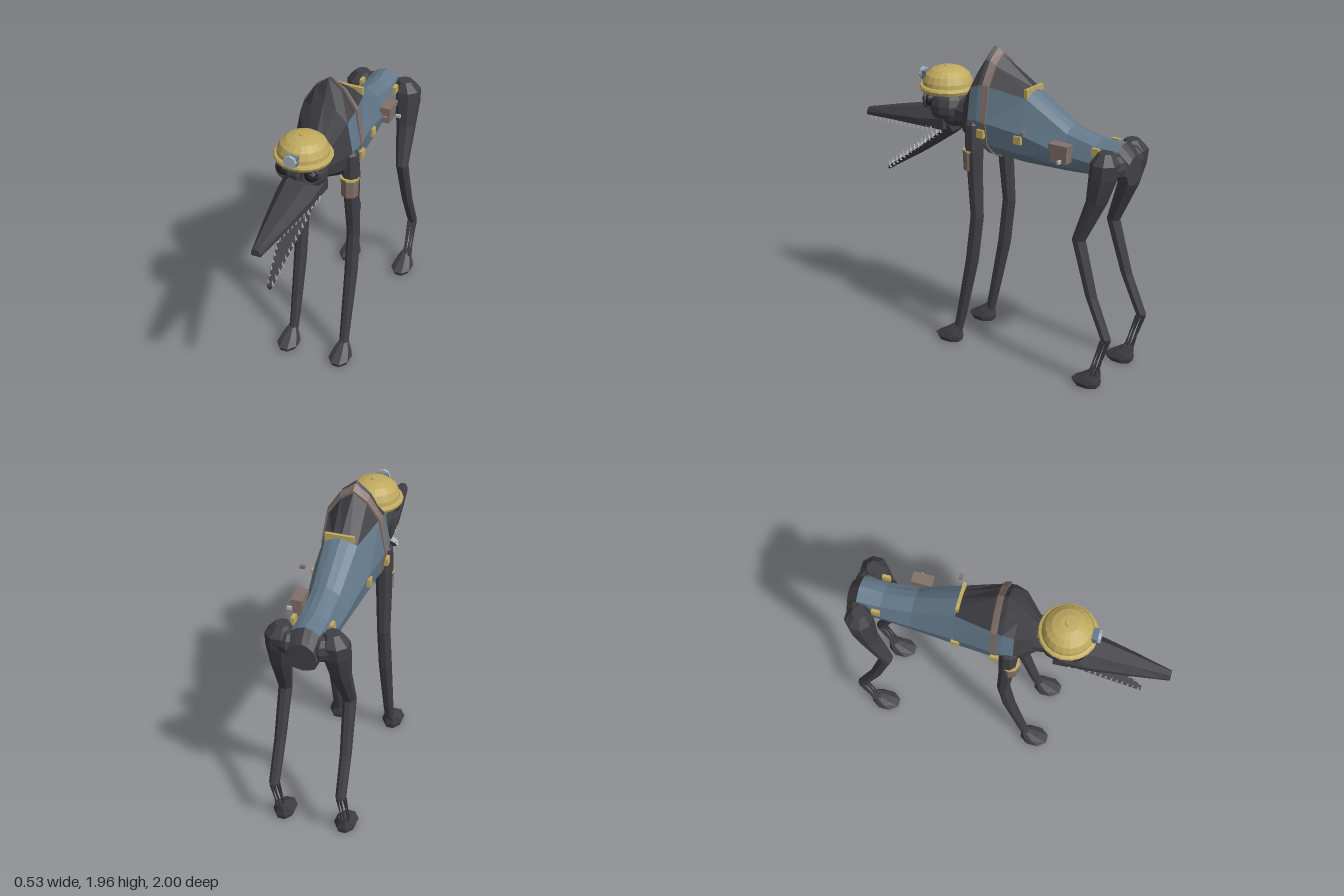
import * as THREE from 'three';

const colour = (name, hex) => {
  const m = new THREE.MeshStandardMaterial({ color: hex });
  m.name = name;
  return m;
};

export function createModel() {
  const root = new THREE.Group();
  root.name = 'longJawedCreature';
  const hide = colour('darkHide', 0x414045);
  const blue = colour('blueVest', 0x64798b);
  const brown = colour('brownLeather', 0x82716a);
  const yellow = colour('yellowMetal', 0xc0aa60);
  const bone = colour('paleTeeth', 0xb9b9b6);
  const glass = colour('lampGlass', 0xa9b4be);
  const black = colour('blackEye', 0x242328);

  // Facet a built-in geometry and add it under a name
  function add(name, geo, mat, x = 0, y = 0, z = 0, parent = root) {
    const g = geo.index ? geo.toNonIndexed() : geo;
    g.computeVertexNormals();
    const mesh = new THREE.Mesh(g, mat);
    mesh.name = name;
    mesh.position.set(x, y, z);
    parent.add(mesh);
    return mesh;
  }
  const box = (name, w, h, d, mat, x, y, z) => add(name, new THREE.BoxGeometry(w, h, d), mat, x, y, z);

  // Capped skin over rings of points; pick(section, side) chooses the material
  function loft(name, rings, mats, pick = () => 0) {
    const buckets = mats.map(() => []);
    const n = rings[0].length;
    let volume = 0;
    const tri = (b, p, q, r) => {
      volume += p.dot(q.clone().cross(r));
      buckets[b].push([p, q, r]);
    };
    for (let j = 0; j < rings.length - 1; j++) for (let i = 0; i < n; i++) {
      const k = (i + 1) % n, b = pick(j, i);
      tri(b, rings[j][i], rings[j][k], rings[j + 1][k]);
      tri(b, rings[j][i], rings[j + 1][k], rings[j + 1][i]);
    }
    for (const end of [0, rings.length - 1]) {
      const ring = rings[end];
      const mid = ring.reduce((s, p) => s.add(p), new THREE.Vector3()).divideScalar(n);
      for (let i = 0; i < n; i++) {
        const p = ring[i], q = ring[(i + 1) % n];
        if (end === 0) tri(0, mid, q, p);
        else tri(0, mid, p, q);
      }
    }
    const geo = new THREE.BufferGeometry(), points = [];
    buckets.forEach((tris, b) => {
      const start = points.length;
      for (const [p, q, r] of tris) points.push(...(volume > 0 ? [p, q, r] : [p, r, q]));
      geo.addGroup(start, points.length - start, b);
    });
    geo.setFromPoints(points);
    return add(name, geo, mats);
  }
  const V = (x, y, z) => new THREE.Vector3(x, y, z);
  const oval = (x, y, z, rx, rz, n = 8) => Array.from({ length: n }, (_, i) => {
    const a = (i + 0.5) / n * Math.PI * 2;
    return V(x + rx * Math.cos(a), y, z + rz * Math.sin(a));
  });

  // Trunk cross-section: belly, flank, shoulder line, hump
  function trunkRing([z, bottom, top, w, ys, ws]) {
    const h = ys - bottom;
    const half = [[w * 0.55, bottom + 0.01], [w * 0.88, bottom + h * 0.18], [w, bottom + h * 0.5],
      [ws, ys], [ws * 0.52, ys + (top - ys) * 0.66]];
    return [V(0, bottom, z), ...half.map(([x, y]) => V(x, y, z)), V(0, top, z),
      ...half.reverse().map(([x, y]) => V(-x, y, z))];
  }
  const trunk = [
    [0.18, 1.37, 1.65, 0.1, 1.57, 0.08], [0.07, 1.33, 1.83, 0.19, 1.72, 0.155],
    [0, 1.32, 1.96, 0.2, 1.75, 0.165], [-0.05, 1.31, 1.925, 0.2, 1.75, 0.16],
    [-0.3, 1.29, 1.74, 0.17, 1.7, 0.1], [-0.58, 1.29, 1.57, 0.13, 1.53, 0.085],
    [-0.78, 1.3, 1.52, 0.115, 1.49, 0.085], [-0.93, 1.3, 1.53, 0.11, 1.49, 0.085],
    [-1, 1.28, 1.46, 0.09, 1.42, 0.07]];
  loft('trunkWithVest', trunk.map(trunkRing), [hide, blue], (j, i) =>
    (j === 0 || j === trunk.length - 2 || (j < 4 && i >= 4 && i <= 7) ? 0 : 1));
  loft('chestStrap', [[-0.03, 1.305, 1.955, 0.206, 1.76, 0.172],
    [-0.07, 1.3, 1.925, 0.205, 1.755, 0.166]].map(trunkRing), [brown]);
  box('backClasp', 0.18, 0.06, 0.02, yellow, 0.01, 1.725, -0.295);

  // Neck and skull
  add('neck', new THREE.CylinderGeometry(0.1, 0.12, 0.16, 10).rotateX(Math.PI / 2), hide, 0, 1.5, 0.18);
  add('skull', new THREE.SphereGeometry(0.14, 12, 9).scale(1.03, 0.95, 1), hide, 0, 1.52, 0.325);

  // Jaws: sections of z, bottom, top, half width
  const jawRing = ([z, b, t, w]) => [V(-w, b, z), V(w, b, z), V(w, b + (t - b) * 0.4, z),
    V(w * 0.5, t, z), V(-w * 0.5, t, z), V(-w, b + (t - b) * 0.4, z)];
  const lowerRing = ([z, b, t, w]) => [V(-w * 0.6, b, z), V(w * 0.6, b, z), V(w, t, z), V(-w, t, z)];
  loft('upperJaw', [[0.3, 1.395, 1.57, 0.13], [0.5, 1.385, 1.5, 0.115], [0.75, 1.365, 1.445, 0.075],
    [1, 1.34, 1.385, 0.03]].map(jawRing), [hide]);
  loft('lowerJaw', [[0.28, 1.37, 1.43, 0.1], [0.34, 1.32, 1.375, 0.1], [0.56, 1.165, 1.205, 0.065],
    [0.845, 0.985, 1.01, 0.015]].map(lowerRing), [hide]);

  // Teeth along both jaws
  for (const s of [1, -1]) for (let i = 0; i < 15; i++) {
    const t = i / 14;
    const upper = new THREE.ConeGeometry(0.011, 0.05, 4).rotateX(Math.PI);
    add('upperTooth', upper, bone, s * (0.12 - 0.092 * t), 1.375 - 0.047 * t, 0.4 + 0.56 * t);
    const lower = new THREE.ConeGeometry(0.01, 0.05, 4).rotateX(0.25);
    add('lowerTooth', lower, bone, s * (0.092 - 0.078 * t), 1.385 - 0.355 * t, 0.35 + 0.48 * t);
  }

  // Helmet with brim, button and headlamp
  const shell = [[0, -0.012], [0.172, -0.012], [0.18, 0.008], [0.174, 0.02], [0.158, 0.025], [0.155, 0.05],
    [0.137, 0.09], [0.1, 0.12], [0.055, 0.135], [0, 0.14]].map(p => new THREE.Vector2(...p));
  add('helmet', new THREE.LatheGeometry(shell, 20), yellow, 0, 1.635, 0.355);
  add('helmetButton', new THREE.CylinderGeometry(0.02, 0.025, 0.01, 10), yellow, 0, 1.775, 0.355);
  box('lampBracket', 0.075, 0.055, 0.035, blue, 0, 1.69, 0.515);
  add('headlamp', new THREE.CylinderGeometry(0.042, 0.042, 0.018, 8).rotateX(Math.PI / 2), glass, 0, 1.695, 0.543);

  for (const s of [1, -1]) {
    // Sunken eyes with rims
    add('eye', new THREE.IcosahedronGeometry(0.045, 1), black, s * 0.088, 1.565, 0.435);
    add('eyeRim', new THREE.TorusGeometry(0.05, 0.01, 5, 12).rotateY(s * 0.35), hide, s * 0.09, 1.565, 0.455);

    // Legs: points of x, y, z, radius
    const limb = (name, pts) => loft(name, pts.map(([x, y, z, r]) => oval(s * x, y, z, r, r)), [hide]);
    limb('frontLeg', [[0.15, 1.54, 0.04, 0.03], [0.16, 1.5, 0.04, 0.055], [0.165, 1.35, 0.035, 0.058],
      [0.168, 1.2, 0.028, 0.05], [0.175, 0.9, 0.008, 0.042], [0.178, 0.6, 0.045, 0.042],
      [0.178, 0.2, 0.13, 0.033], [0.18, 0.08, 0.16, 0.03]]);
    limb('hindLeg', [[0.15, 1.5, -0.89, 0.045], [0.165, 1.44, -0.895, 0.088], [0.17, 1.35, -0.885, 0.085],
      [0.18, 1.2, -0.855, 0.065], [0.2, 0.94, -0.75, 0.042], [0.208, 0.6, -0.85, 0.036],
      [0.212, 0.35, -0.96, 0.033], [0.212, 0.33, -0.96, 0.02]]);
    add('hip', new THREE.SphereGeometry(0.085, 8, 6), hide, s * 0.1, 1.4, -0.91);

    // Thin strands between hock and hind foot
    for (let i = 0; i < 7; i++) {
      const a = i / 7 * Math.PI * 2, c = Math.cos(a), d = Math.sin(a);
      loft('hockStrand', [[0.34, -0.96, 0.009], [0.18, -0.907, 0.003], [0.09, -0.88, 0.009]].map(([y, z, r]) =>
        oval(s * 0.212 + c * 0.026, y, z + d * 0.026, r, r, 4)), [hide]);
    }

    // Feet
    for (const [name, x, z] of [['frontFoot', 0.185, 0], ['hindFoot', 0.2, -1.05]]) {
      loft(name, [[0, 0.22, 0.06, 0.085], [0.03, 0.225, 0.073, 0.097], [0.07, 0.195, 0.058, 0.062],
        [0.115, 0.162, 0.03, 0.032]].map(([y, cz, rx, rz]) => oval(s * x, y, cz + z, rx, rz)), [hide]);
    }

    // Leather cuff on the upper front leg
    add('legCuff', new THREE.CylinderGeometry(0.06, 0.055, 0.12, 8), brown, s * 0.165, 1.265, 0.05);
    add('cuffTrim', new THREE.CylinderGeometry(0.062, 0.062, 0.012, 8), yellow, s * 0.165, 1.33, 0.048);

    // Brass buckles along the flank
    for (const [x, y, z] of [[0.205, 1.46, -0.04], [0.172, 1.46, -0.29], [0.116, 1.47, -0.8]]) {
      box('buckle', 0.022, 0.05, 0.05, yellow, s * x, y, z);
    }
  }

  // Side pouch with lid and loose clips
  box('pouch', 0.06, 0.08, 0.11, brown, 0.155, 1.42, -0.585);
  box('pouchLid', 0.07, 0.035, 0.13, brown, 0.158, 1.475, -0.585);
  box('pouchClip', 0.03, 0.02, 0.015, bone, 0.215, 1.4, -0.61);
  box('looseClip', 0.03, 0.02, 0.02, brown, 0.22, 1.53, -0.36);
  return root;
}
